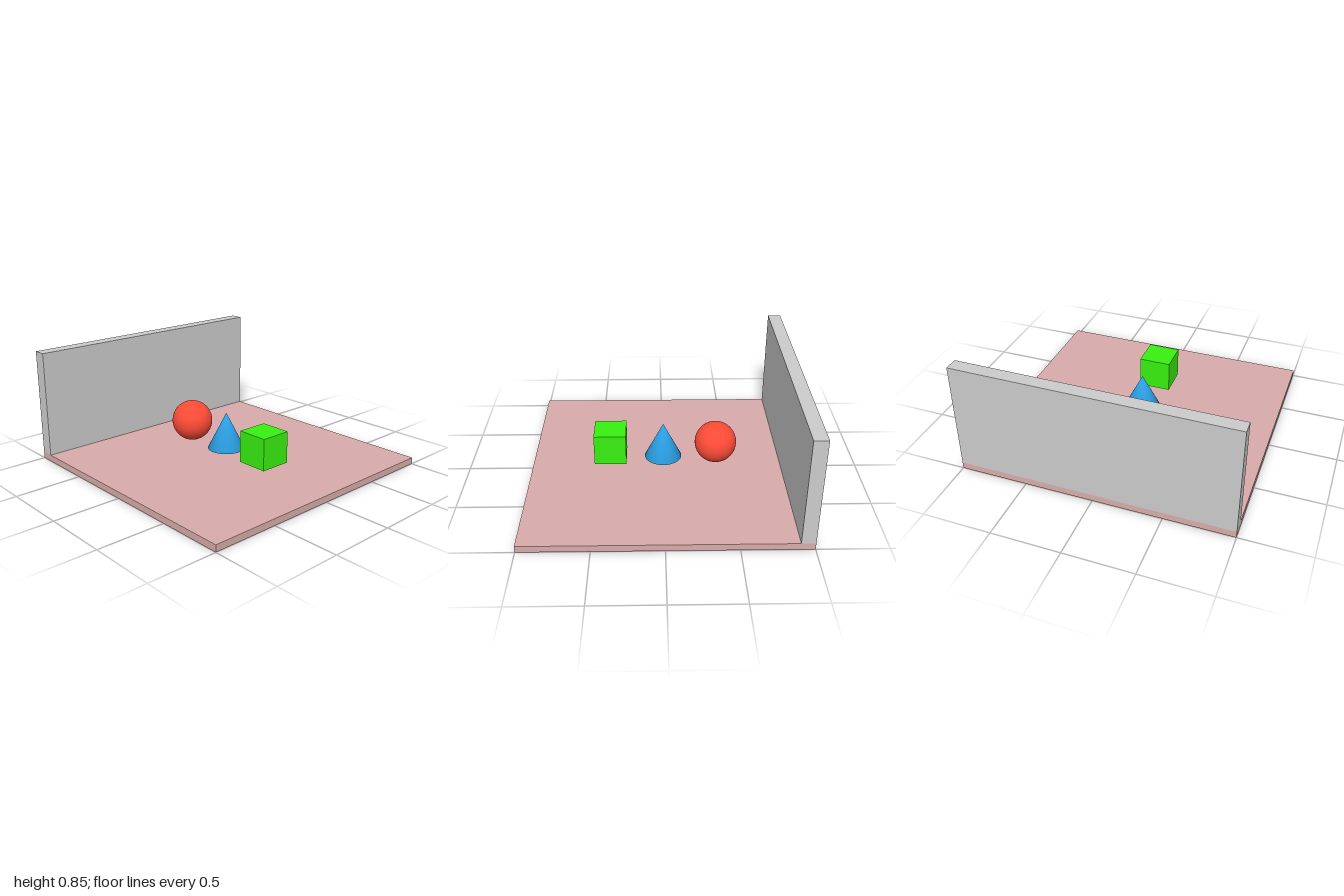
import * as THREE from 'three';
import { mergeVertices } from 'three/addons/utils/BufferGeometryUtils.js';

// Welds the vertices so shading runs smoothly over every edge
function smoothed(geometry) {
  geometry.deleteAttribute('uv');
  geometry.deleteAttribute('normal');
  const welded = mergeVertices(geometry, 1e-4);
  welded.computeVertexNormals();
  return welded;
}

export function createModel() {
  const group = new THREE.Group();
  const add = (name, geometry, color, x, y, z = 0) => {
    const mesh = new THREE.Mesh(geometry, new THREE.MeshStandardMaterial({ color }));
    mesh.name = name;
    mesh.position.set(x, y, z);
    group.add(mesh);
  };

  // Square floor slab with a wall along its right edge
  add('floor', new THREE.BoxGeometry(2, 0.05, 2), 0xd8acaa, 0, 0.025);
  add('wall', new THREE.BoxGeometry(0.1, 0.8, 2), 0xbcbcbc, -0.95, 0.45);

  // Three solids hovering in a row above the floor
  add('sphere', new THREE.SphereGeometry(0.158, 48, 32), 0xff4b37, -0.4, 0.23);
  add('cone', smoothed(new THREE.ConeGeometry(0.14, 0.28, 48)), 0x2fa8f0, 0, 0.25);
  add('cube', new THREE.BoxGeometry(0.24, 0.24, 0.24), 0x38f010, 0.4, 0.23);

  return group;
}
